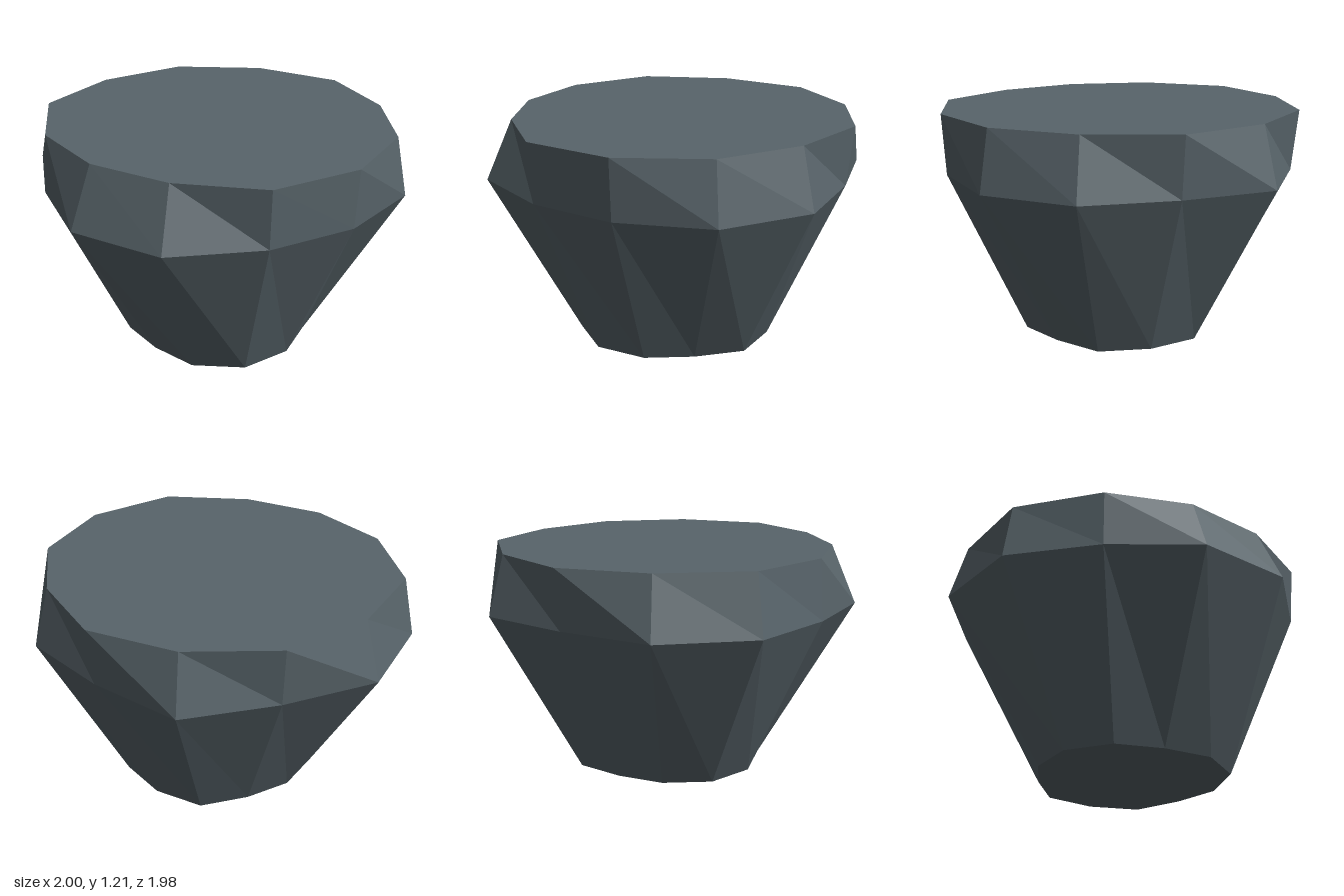
import * as THREE from 'three';

// Radii of each ring every 30 degrees, starting at +x and turning towards +z
const RINGS = [
  { y: 0, r: [0.53, 0.56, 0.54, 0.49, 0.52, 0.53, 0.5, 0.48, 0.54, 0.53, 0.55, 0.495] },
  { y: 0.89, r: [0.94, 0.935, 1.02, 1.015, 0.945, 1.04, 1.04, 0.935, 1.03, 0.925, 1.005, 1.01] },
  { y: 1.21, r: [0.96, 0.96, 0.88, 0.88, 0.925, 0.98, 0.95, 0.97, 0.945, 0.96, 0.92, 0.95] },
];
const SIDES = 12;
const CENTRE = { x: 0.04, z: -0.03 };

function ringPoint({ y, r }, k) {
  const i = k % SIDES;
  const a = (i / SIDES) * Math.PI * 2;
  return [CENTRE.x + r[i] * Math.cos(a), y, CENTRE.z + r[i] * Math.sin(a)];
}

function facets(triangles) {
  const geometry = new THREE.BufferGeometry();
  geometry.setAttribute('position', new THREE.Float32BufferAttribute(triangles.flat(2), 3));
  geometry.computeVertexNormals();
  return geometry;
}

// Band of faces between two rings
function band(lower, upper) {
  const tris = [];
  for (let k = 0; k < SIDES; k++) {
    const a = ringPoint(lower, k), b = ringPoint(lower, k + 1);
    const c = ringPoint(upper, k + 1), d = ringPoint(upper, k);
    tris.push([a, d, c], [a, c, b]);
  }
  return facets(tris);
}

// Flat cap closing a ring
function cap(ring, facesUp) {
  const mid = [CENTRE.x, ring.y, CENTRE.z];
  const tris = [];
  for (let k = 0; k < SIDES; k++) {
    const a = ringPoint(ring, k), b = ringPoint(ring, k + 1);
    tris.push(facesUp ? [mid, b, a] : [mid, a, b]);
  }
  return facets(tris);
}

export function createModel() {
  const model = new THREE.Group();
  model.name = 'rock';
  const stone = new THREE.MeshStandardMaterial({ color: 0x58646a });
  stone.name = 'slate grey stone';
  stone.flatShading = true;

  const add = (name, geometry) => {
    const mesh = new THREE.Mesh(geometry, stone);
    mesh.name = name;
    model.add(mesh);
  };
  add('taperedBase', band(RINGS[0], RINGS[1]));
  add('upperRim', band(RINGS[1], RINGS[2]));
  add('flatTop', cap(RINGS[2], true));
  add('underside', cap(RINGS[0], false));
  return model;
}
